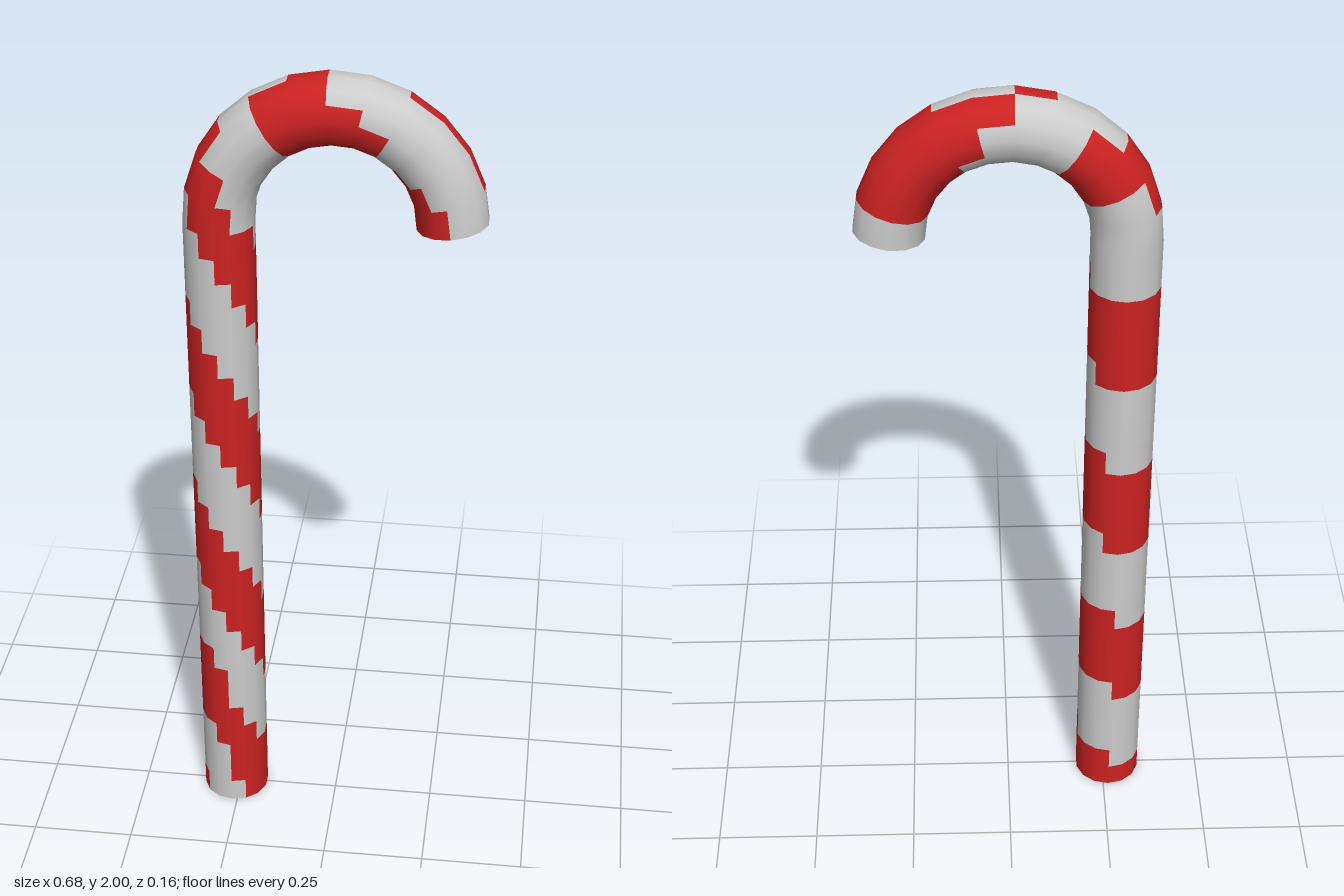
import * as THREE from 'three';

const SIDES = 14, RADIUS = 0.082;
const STEM_X = -0.263, BEND_R = 0.262, BEND_Y = 1.658;
const STEM_RINGS = 27, STEM_TOP = 1.637, BEND_RINGS = 12;
const RINGS = STEM_RINGS + BEND_RINGS;

// Stem stripes: ring height at which the red band ends on each side, repeating every PERIOD rings
const PERIOD = 7.75;
const BAND_TOP = [5.2, 4.2, 3.3, 2.6, 2.18, 2.05, 1.8, 1.45, 1.35, 1.25, 0.98, 0.6, -0.25, -1.25];

// Hook stripes: one row per side, one letter per ring (r = red)
const HOOK = [
  '...rrrr...r', '...rrrr..rr', '...rrr..rrr', '..rrr..rrr.', '.rrr...rrr.',
  '.rr....rrr.', '.rr...rrrr.', '.rr...rrrr.', '.rr..rrrrr.', 'rr...rrrrr.',
  'rr..r..rrr.', 'rr.rr......', 'r..rr......', 'r..rrr.....',
];

function isRed(ring, side) {
  if (ring > STEM_RINGS) return HOOK[side][ring - STEM_RINGS - 1] === 'r';
  const below = BAND_TOP[side] + PERIOD * 4 - (ring + 0.5);
  return below % PERIOD < PERIOD / 2;
}

// Centre and outward direction of each ring along the cane
function ringFrame(i) {
  if (i <= STEM_RINGS) {
    return { c: new THREE.Vector3(STEM_X, (i / STEM_RINGS) * STEM_TOP, 0), out: new THREE.Vector3(-1, 0, 0) };
  }
  const step = 15.4;
  const a = THREE.MathUtils.degToRad(180 - (RINGS - i) * step);
  const tilt = i === RINGS ? a - THREE.MathUtils.degToRad(7.5) : a;
  return {
    c: new THREE.Vector3(-BEND_R * Math.cos(a), BEND_Y + BEND_R * Math.sin(a), 0),
    out: new THREE.Vector3(-Math.cos(tilt), Math.sin(tilt), 0),
  };
}

// Point and smooth normal on a ring; side 0 faces the front
function ringVertex(i, j) {
  const { c, out } = ringFrame(i);
  const phi = (j / SIDES) * Math.PI * 2;
  const n = out.multiplyScalar(-Math.sin(phi));
  n.z = Math.cos(phi);
  return { p: c.addScaledVector(n, RADIUS), n };
}

function toMesh(name, verts, color) {
  const geometry = new THREE.BufferGeometry();
  geometry.setAttribute('position', new THREE.Float32BufferAttribute(verts.flatMap((v) => v.p.toArray()), 3));
  geometry.setAttribute('normal', new THREE.Float32BufferAttribute(verts.flatMap((v) => v.n.toArray()), 3));
  const mesh = new THREE.Mesh(geometry, new THREE.MeshStandardMaterial({ color }));
  mesh.name = name;
  return mesh;
}

// Flat end disc, facing down the stem or out of the hook
function endCap(name, i, atStart) {
  const { c, out } = ringFrame(i);
  const n = new THREE.Vector3(out.y, -out.x, 0);
  if (atStart) n.negate();
  const verts = [];
  for (let j = 0; j < SIDES; j++) {
    const a = ringVertex(i, j).p, b = ringVertex(i, j + 1).p;
    for (const p of atStart ? [c, b, a] : [c, a, b]) verts.push({ p, n });
  }
  return toMesh(name, verts, 0xcccccc);
}

export function createModel() {
  const red = [], white = [];
  for (let i = 0; i < RINGS; i++) {
    for (let j = 0; j < SIDES; j++) {
      const a = ringVertex(i, j), b = ringVertex(i, j + 1);
      const c = ringVertex(i + 1, j + 1), d = ringVertex(i + 1, j);
      (isRed(i, j) ? red : white).push(a, b, c, a, c, d);
    }
  }
  const cane = new THREE.Group();
  cane.name = 'candyCane';
  cane.add(
    toMesh('redStripes', red, 0xcc2222),
    toMesh('whiteStripes', white, 0xcccccc),
    endCap('stemEnd', 0, true),
    endCap('hookEnd', RINGS, false),
  );
  return cane;
}
